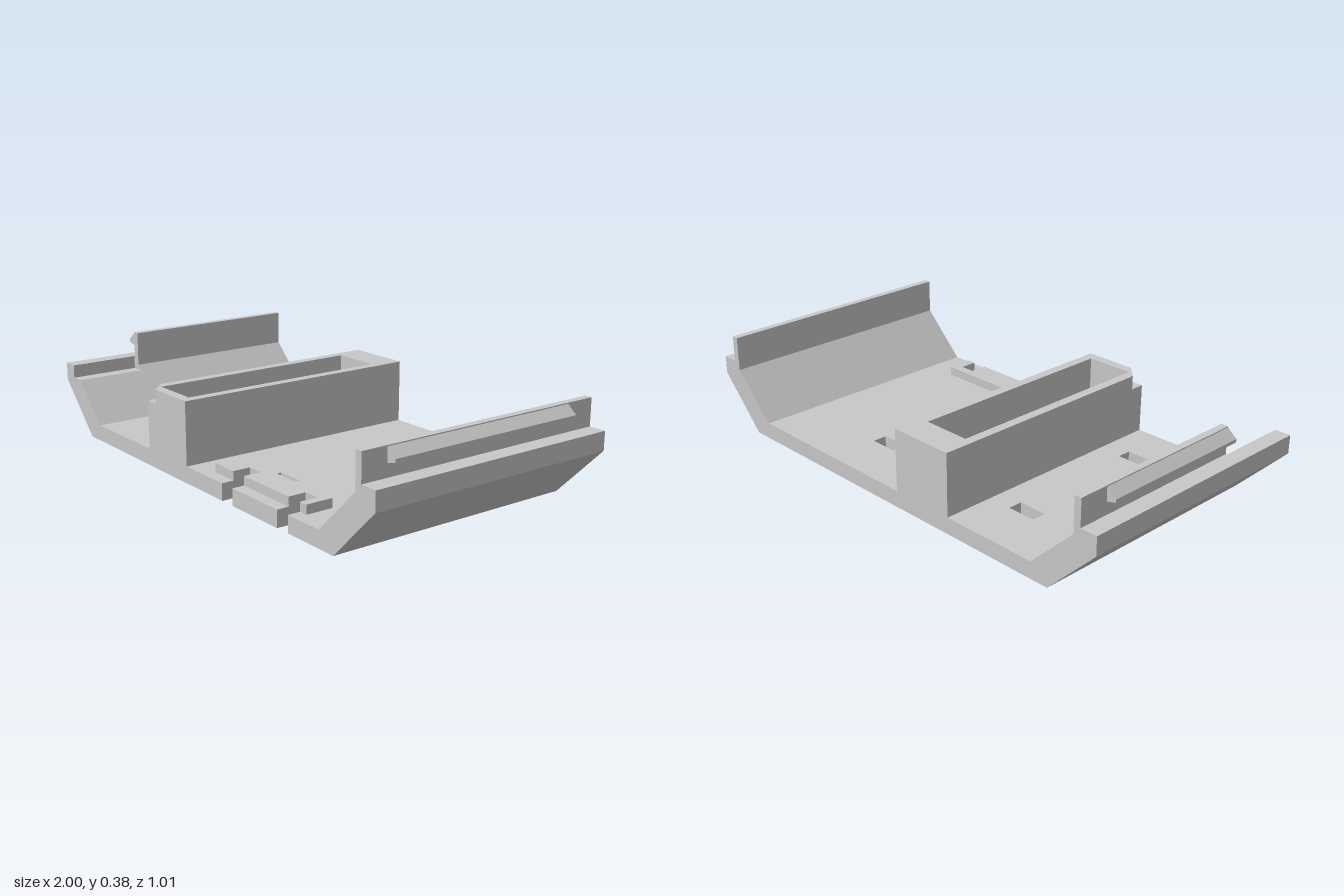
import * as THREE from 'three';

const D = 0.507; // half depth
const FLOOR = 0.065; // floor thickness

export function createModel() {
  const group = new THREE.Group();
  const grey = new THREE.MeshStandardMaterial({ color: 0xc8c8c8 });
  grey.name = 'plain grey';

  const add = (name, geometry) => {
    const mesh = new THREE.Mesh(geometry, grey);
    mesh.name = name;
    group.add(mesh);
  };
  const toVectors = (points) => points.map(([x, y]) => new THREE.Vector2(x, y));
  const rect = (x0, x1, z0, z1) => [[x0, z0], [x1, z0], [x1, z1], [x0, z1]];

  // Plan outline given as [x, z], raised from y0 to y1
  const plate = (outline, holes, y0, y1) => {
    // Reversing keeps outline and holes counter-clockwise, so hole walls face inwards
    const flip = (pts) => toVectors(pts.map(([x, z]) => [x, -z])).reverse();
    const shape = new THREE.Shape(flip(outline));
    shape.holes = holes.map((h) => new THREE.Path(flip(h)));
    const g = new THREE.ExtrudeGeometry(shape, { depth: y1 - y0, bevelEnabled: false });
    return g.rotateX(-Math.PI / 2).translate(0, y0, 0);
  };
  // Cross-section given as [x, y], run from z0 to z1
  const rail = (section, z0, z1, side) => {
    const shape = new THREE.Shape(toVectors(section.map(([x, y]) => [x * side, y])));
    const g = new THREE.ExtrudeGeometry(shape, { depth: z1 - z0, bevelEnabled: false });
    return g.translate(0, 0, z0);
  };

  // Rounded slot under the central housing
  const slot = [];
  const r = 0.0675, cx = -0.1965;
  for (const [zc, start] of [[0.489 - r, 0], [-0.411 + r, Math.PI]]) {
    for (let i = 0; i <= 16; i++) {
      const a = start + (i / 16) * Math.PI;
      slot.push([cx + r * Math.cos(a), zc + r * Math.sin(a)]);
    }
  }

  // Floor with four small windows, the slot and two front notches
  const windows = [];
  for (const x of [-0.542, 0.198]) {
    for (const z of [-0.306, 0.273]) windows.push(rect(x, x + 0.115, z, z + 0.057));
  }
  const E = 0.725;
  add('floor', plate([
    [-E, -D], [E, -D], [E, D], [0.562, D], [0.562, 0.389], [0.5, 0.389], [0.5, D],
    [0.236, D], [0.236, 0.389], [0.17, 0.389], [0.17, D], [-E, D],
  ], [...windows, slot], 0, FLOOR));

  // Raised pad around the notches
  add('frontPad', plate([
    [0.055, 0.352], [0.597, 0.352], [0.597, 0.459], [0.562, 0.459], [0.562, 0.389], [0.5, 0.389],
    [0.5, 0.459], [0.236, 0.459], [0.236, 0.389], [0.17, 0.389], [0.17, 0.459], [0.055, 0.459],
  ], [], FLOOR, 0.1));

  // Central housing with an open pocket; the upper layer has a clipped corner
  const pocket = rect(-0.293, -0.1, -0.387, 0.468);
  add('housingBase', plate(rect(-0.33, -0.063, -D, D), [pocket], FLOOR, 0.255));
  add('housingTop', plate([
    [-0.33, -D], [-0.063, -D], [-0.063, D], [-0.272, D], [-0.33, 0.449],
  ], [pocket], 0.255, 0.31));

  // Sloping sides with upright lips; the right lip stops short of the front
  const outer = [[E, 0], [0.8, 0], [1, 0.201], [1, 0.272]];
  const lipped = [...outer, [0.933, 0.272], [0.933, 0.376], [0.905, 0.376], [0.905, 0.24], [E, FLOOR]];
  const stepped = [...outer, [0.938, 0.272], [0.938, 0.22], [0.885, 0.22], [E, FLOOR]];
  add('leftSide', rail(lipped, -D, D, 1));
  add('rightSide', rail(lipped, -D, 0.223, -1));
  add('rightSideStep', rail(stepped, 0.223, D, -1));

  // Snap ridges along the outside of the lips
  const ridge = [[0.933, 0.372], [0.97, 0.341], [0.97, 0.329], [0.933, 0.32]];
  add('leftRidge', rail(ridge, -0.39, 0.406, 1));
  add('rightRidge', rail(ridge, -0.39, 0.223, -1));

  return group;
}
